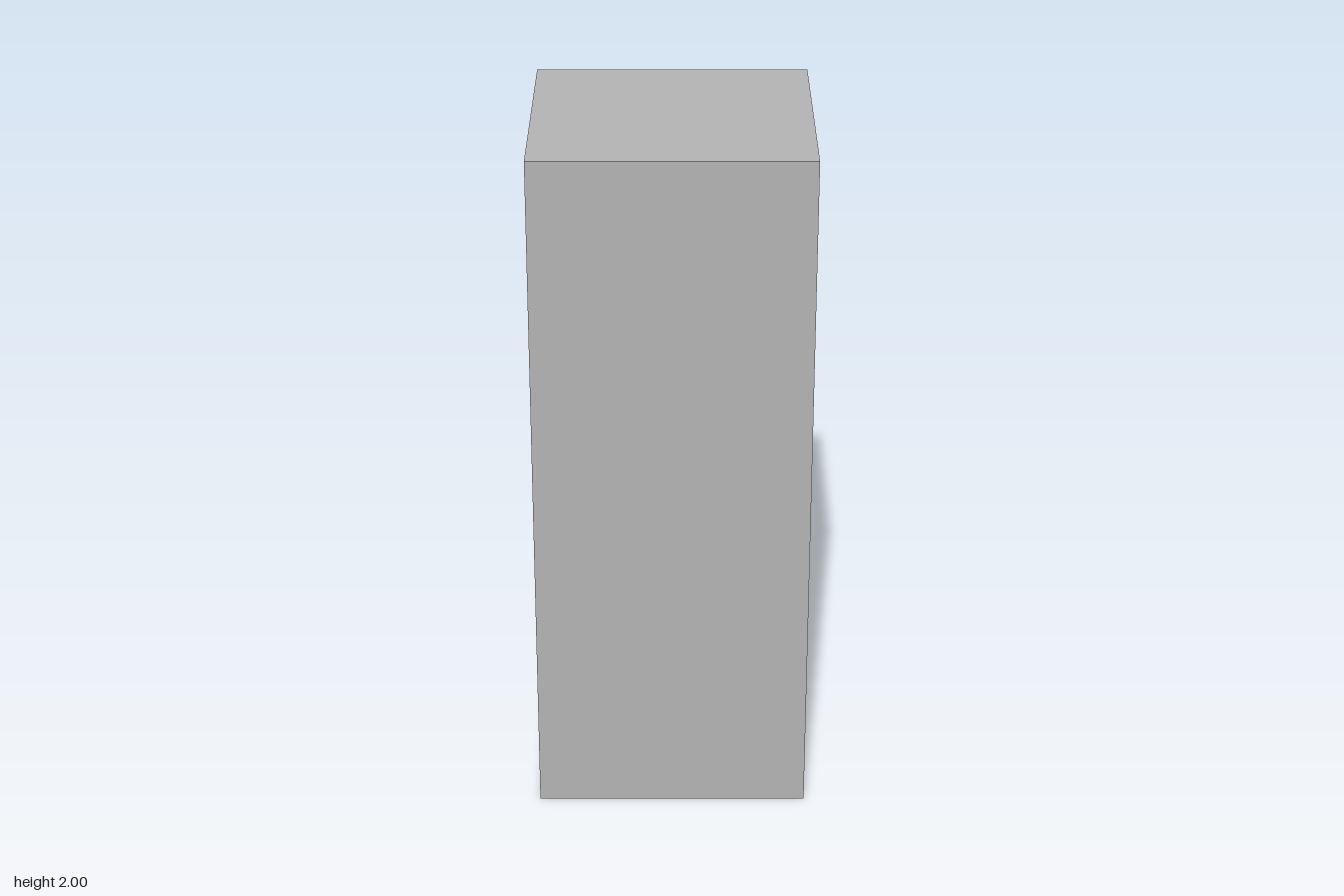
import * as THREE from 'three';

export function createModel() {
  const model = new THREE.Group();
  model.name = 'refrigerator';
  const grey = new THREE.MeshStandardMaterial({ color: 0xb2b2b2 });
  grey.name = 'light grey';

  // Box given by its lower and upper limits on each axis
  const addBox = (name, [x0, x1], [y0, y1], [z0, z1]) => {
    const mesh = new THREE.Mesh(new THREE.BoxGeometry(x1 - x0, y1 - y0, z1 - z0), grey);
    mesh.position.set((x0 + x1) / 2, (y0 + y1) / 2, (z0 + z1) / 2);
    mesh.name = name;
    model.add(mesh);
  };

  const doorZ = -0.355;

  // Cabinet
  addBox('cabinet', [-0.389, 0.389], [0, 2], [doorZ, 0.4]);

  // Raised strip between the freezer and fridge doors
  addBox('doorDivider', [-0.376, 0.376], [1.37, 1.382], [-0.367, doorZ]);

  // Upright door handles
  const handles = { freezerHandle: [1.456, 1.797], fridgeHandle: [0.802, 1.258] };
  for (const [name, span] of Object.entries(handles)) {
    addBox(name, [0.291, 0.325], span, [-0.4, doorZ]);
  }

  return model;
}
